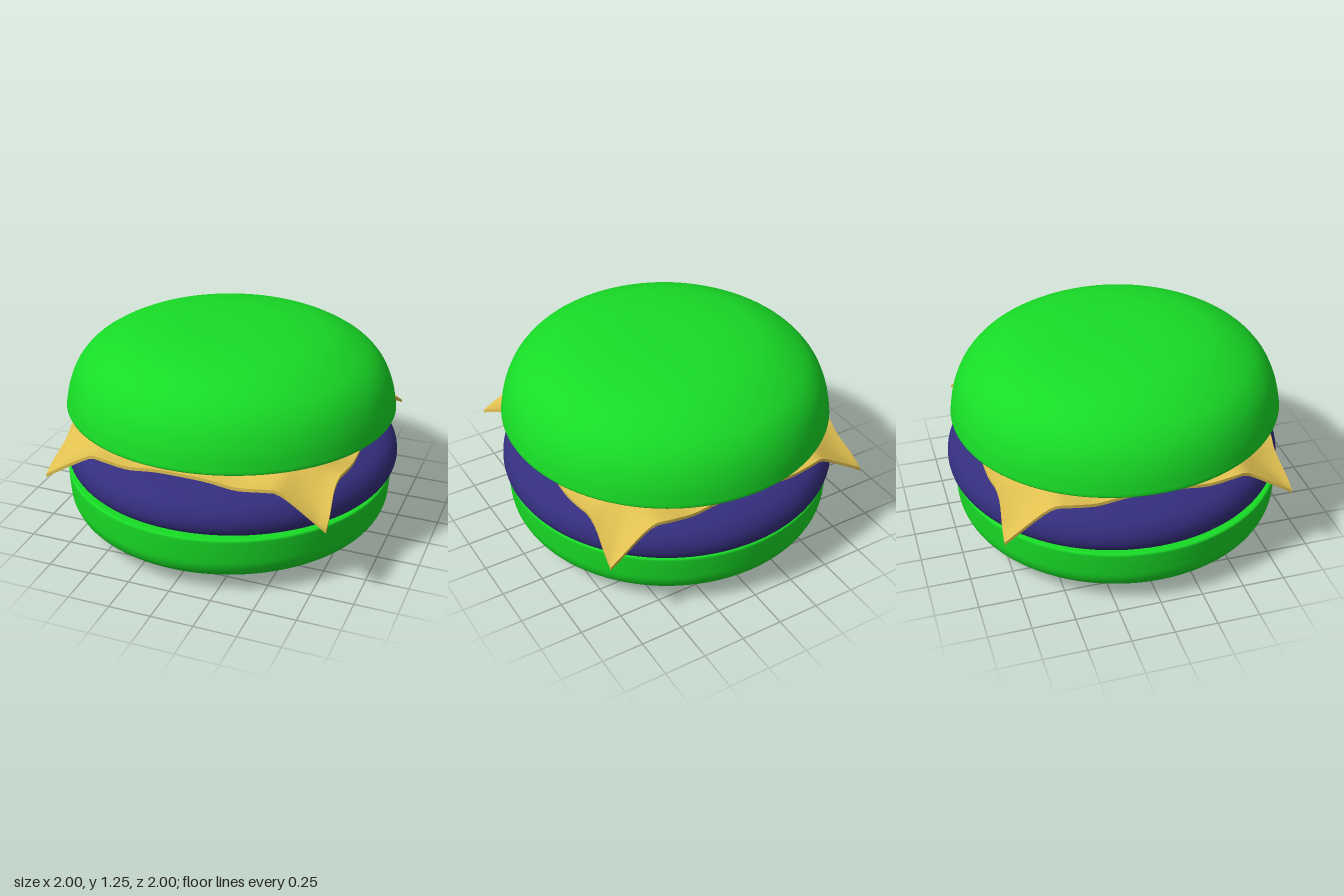
import * as THREE from 'three';

const material = (color) => new THREE.MeshStandardMaterial({ color });

// Turned part: a flat run of points, then a smooth curve, then closing points
function turned(name, before, curve, after, mat) {
  const v = ([r, y]) => new THREE.Vector2(r, y);
  const smooth = new THREE.SplineCurve(curve.map(v)).getPoints(36);
  smooth.forEach((p) => { p.x = Math.max(p.x, 0); });
  const points = [...before.map(v), ...smooth, ...after.map(v)];
  const mesh = new THREE.Mesh(new THREE.LatheGeometry(points, 96), mat);
  mesh.name = name;
  return mesh;
}

// Square slice resting on the patty, with drooping edges and corners
function cheeseSlice(mat) {
  const geometry = new THREE.BoxGeometry(2, 0.02, 2, 40, 1, 40);
  const pos = geometry.attributes.position;
  const step = THREE.MathUtils.smoothstep;
  for (let i = 0; i < pos.count; i++) {
    const u = pos.getX(i), w = pos.getZ(i);
    const far = Math.max(Math.abs(u), Math.abs(w));
    const near = Math.min(Math.abs(u), Math.abs(w));
    const edge = step(far, 0.62, 1);
    const corner = Math.max(0, (near - 0.66) / 0.34);
    const wave = 0.02 * edge * Math.exp(-(((near - 0.38) / 0.14) ** 2));
    const y = 0.73 - 0.07 * edge - 0.175 * corner ** 1.15 - wave;
    // Sides pinch in slightly just before the corners flare out
    const pinch = 0.84 - 0.025 * edge * Math.exp(-(((near - 0.75) / 0.14) ** 2));
    pos.setXYZ(i, u * pinch + 0.01, y + pos.getY(i), w * pinch - 0.005);
  }
  geometry.computeVertexNormals();
  const mesh = new THREE.Mesh(geometry, mat);
  mesh.name = 'cheeseSlice';
  return mesh;
}

export function createModel() {
  const burger = new THREE.Group();
  burger.name = 'burger';
  const bread = material(0x18dc26);

  const bottomBun = turned('bottomBun',
    [[0, 0]],
    [[0.3, 0.005], [0.6, 0.022], [0.8, 0.055], [0.92, 0.11], [0.967, 0.18], [0.978, 0.27], [0.982, 0.36]],
    [[0.98, 0.366], [0.974, 0.37], [0.965, 0.371], [0, 0.371]], bread);
  bottomBun.position.set(-0.012, 0, 0.018);

  const patty = turned('patty',
    [[0, 0.372], [0.9, 0.372]],
    [[0.93, 0.374], [0.975, 0.395], [0.998, 0.45], [0.985, 0.52], [0.93, 0.58], [0.8, 0.625], [0.6, 0.65], [0.3, 0.664], [0, 0.668]],
    [], material(0x342e7e));

  // Top bun tips back slightly, so its front rim sits higher
  const topBun = turned('topBun',
    [[0, 0], [0.965, 0], [0.975, 0.003]],
    [[0.979, 0.012], [0.955, 0.13], [0.9, 0.25], [0.8, 0.35], [0.62, 0.44], [0.4, 0.483], [0.2, 0.497], [0, 0.5]],
    [], bread);
  topBun.position.set(0, 0.753, 0.018);
  topBun.rotation.x = -0.022;

  burger.add(bottomBun, patty, cheeseSlice(material(0xe0c050)), topBun);
  return burger;
}
